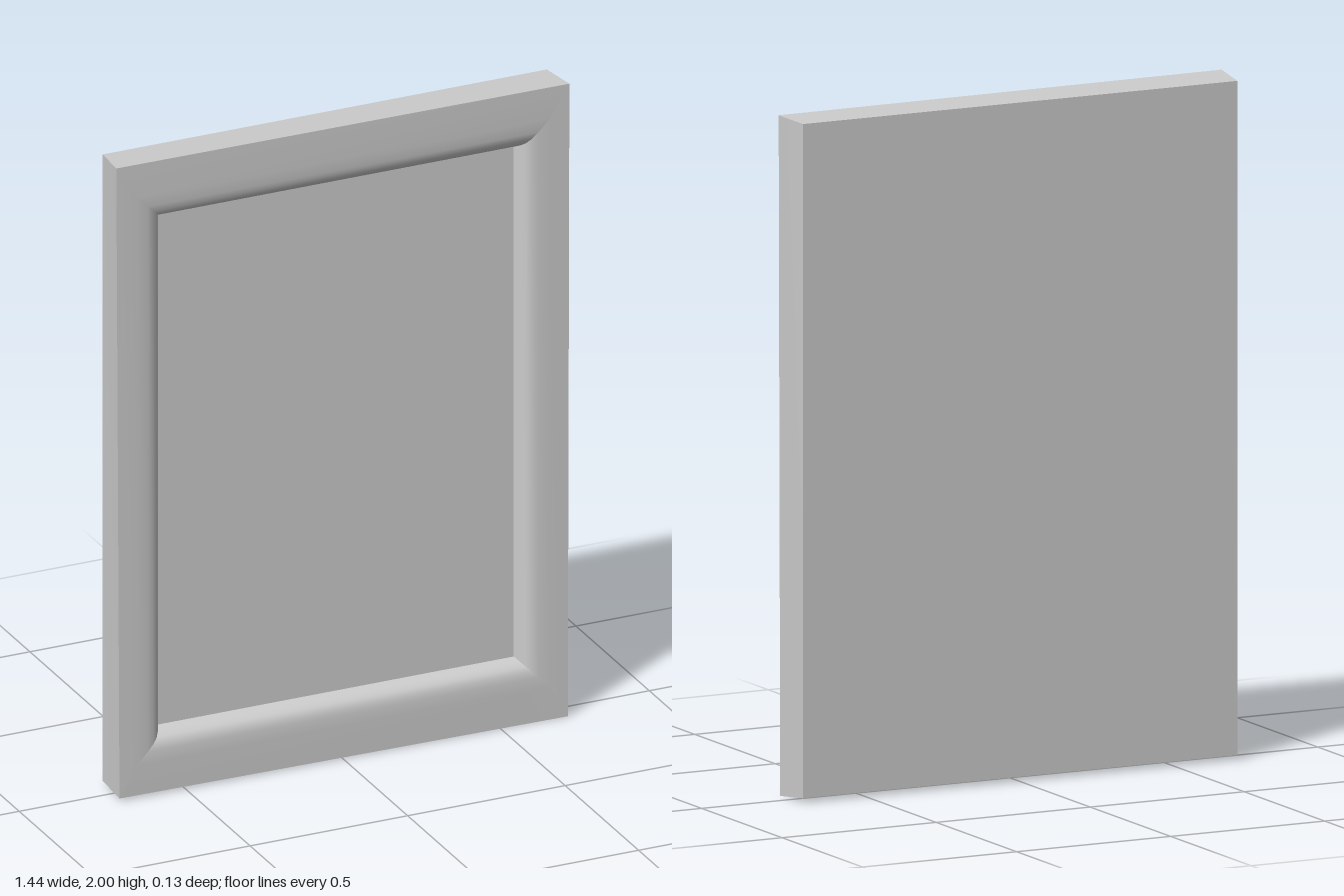
import * as THREE from 'three';

// Corner order everywhere: bottom left, bottom right, top right, top left (seen from the front)
const rect = (x, y0, y1, z) => [[-x, y0, z], [x, y0, z], [x, y1, z], [-x, y1, z]];

// Strip of quads between consecutive corner rings along one side of the frame
function sideStrip(rings, side) {
  const next = (side + 1) % 4;
  const pos = [], index = [];
  rings.forEach((ring, i) => {
    pos.push(...ring[side], ...ring[next]);
    if (i > 0) {
      const a = 2 * (i - 1);
      index.push(a, a + 1, a + 3, a, a + 3, a + 2);
    }
  });
  const geo = new THREE.BufferGeometry();
  geo.setAttribute('position', new THREE.Float32BufferAttribute(pos, 3));
  geo.setIndex(index);
  geo.computeVertexNormals();
  return geo;
}

// Single four-cornered face
function quad(c) {
  const geo = new THREE.BufferGeometry();
  geo.setAttribute('position', new THREE.Float32BufferAttribute(c.flat(), 3));
  geo.setIndex([0, 1, 2, 0, 2, 3]);
  geo.computeVertexNormals();
  return geo;
}

export function createModel() {
  const group = new THREE.Group();
  const grey = new THREE.MeshStandardMaterial({ color: 0xcccccc });
  const add = (name, geo) => {
    const mesh = new THREE.Mesh(geo, grey);
    mesh.name = name;
    group.add(mesh);
  };

  // Slightly uneven front outline and the smaller back outline
  const front = [[-0.71, 0.01, 0.061], [0.712, 0, 0.063], [0.717, 1.995, 0.063], [-0.72, 2, 0.061]];
  const back = rect(0.705, 0.014, 1.99, -0.065);

  // Moulding profile: half width and depth, rounding over towards the panel
  const profile = [[0.655, 0.063], [0.62, 0.061], [0.6, 0.057], [0.586, 0.048], [0.575, 0.033], [0.565, 0.01]];
  const rings = [front, ...profile.map(([x, z]) => rect(x, x - 0.37, 2.37 - x, z))];
  // Lower edge of the opening sits level with the upper one
  rings.slice(1).forEach((ring, i) => {
    const inset = 0.76 - profile[i][0];
    ring[0][1] = ring[1][1] = inset;
    ring[2][1] = ring[3][1] = 2 - inset;
  });

  // Four mitred bars of the frame with their outer edges
  ['bottom', 'right', 'top', 'left'].forEach((name, side) => {
    add(name + 'Moulding', sideStrip(rings, side));
    add(name + 'Edge', sideStrip([back, front], side));
  });

  // Recessed panel and flat back
  add('panel', quad(rings[rings.length - 1]));
  add('backBoard', quad([back[1], back[0], back[3], back[2]]));
  return group;
}
